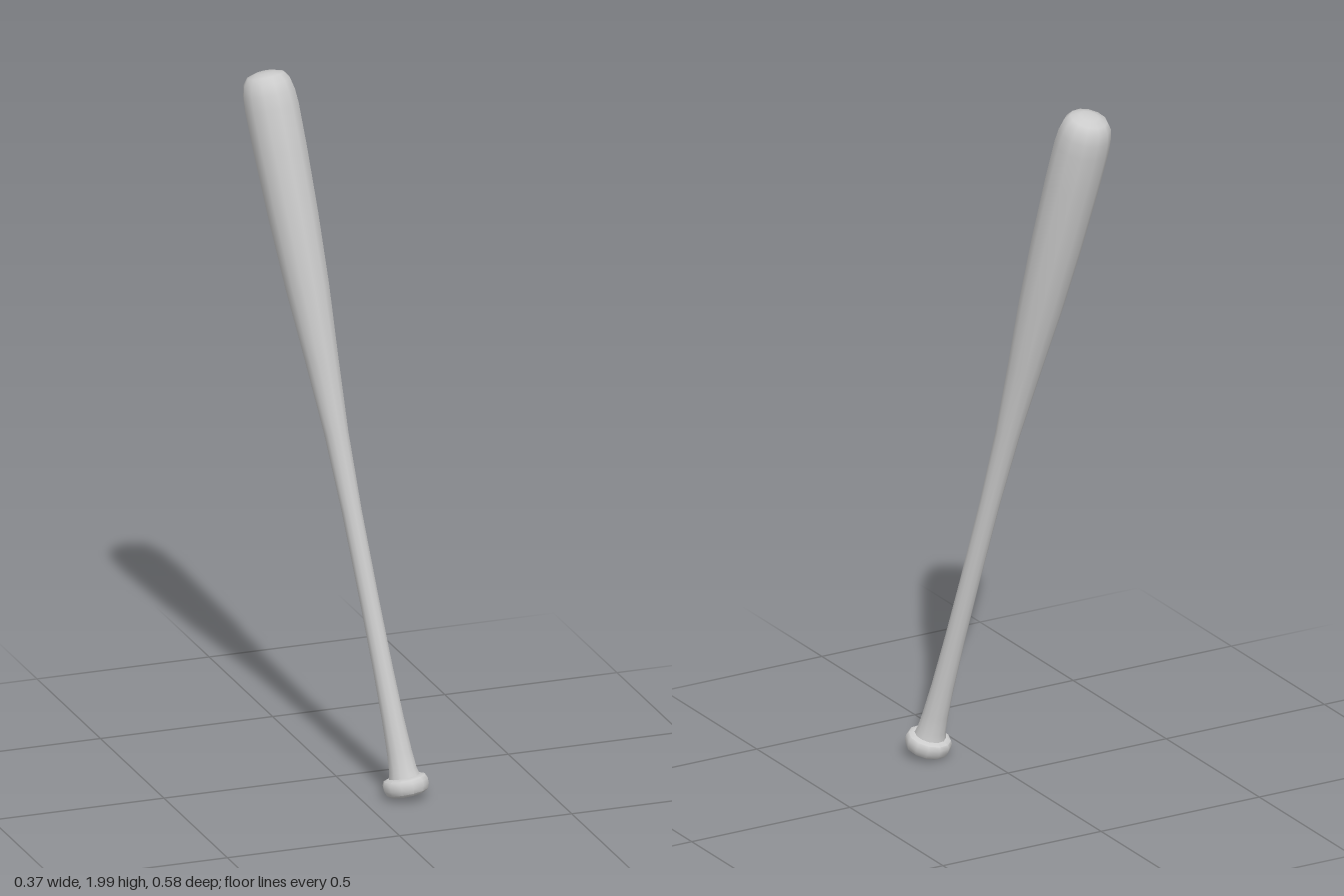
import * as THREE from 'three';
import { toCreasedNormals } from 'three/addons/utils/BufferGeometryUtils.js';

const SIDES = 12;

// Turned part from a [radius, height] profile, listed from bottom to top
function turned(name, profile, crease) {
  const points = profile.map(([r, h]) => new THREE.Vector2(r, h));
  const geometry = toCreasedNormals(new THREE.LatheGeometry(points, SIDES), crease);
  const mesh = new THREE.Mesh(geometry, new THREE.MeshStandardMaterial({ color: 0xcccccc }));
  mesh.name = name;
  return mesh;
}

export function createModel() {
  const bat = new THREE.Group();
  bat.name = 'bat';

  // Rounded knob at the foot of the handle
  bat.add(turned('knob', [
    [0, 0], [0.046, 0], [0.059, 0.008], [0.064, 0.022],
    [0.064, 0.036], [0.059, 0.046], [0.046, 0.051], [0.034, 0.051],
  ], 0.75));

  // Flared grip, slim handle and swelling barrel
  bat.add(turned('handleAndBarrel', [
    [0.045, 0.046], [0.039, 0.07], [0.035, 0.12], [0.031, 0.21],
    [0.028, 0.36], [0.027, 0.55], [0.028, 0.8], [0.034, 1.02],
    [0.047, 1.23], [0.061, 1.43], [0.07, 1.63], [0.075, 1.82],
    [0.076, 1.94], [0.073, 1.98], [0.066, 2.01], [0.052, 2.029],
    [0.027, 2.037], [0, 2.038],
  ], 0.75));

  // Lean the whole bat back and to its right
  const axis = new THREE.Vector3(-0.124, 1, -0.235).normalize();
  bat.quaternion.setFromUnitVectors(new THREE.Vector3(0, 1, 0), axis);
  bat.position.set(0.123, 0.012, 0.231);

  const model = new THREE.Group();
  model.name = 'leaningBat';
  model.add(bat);
  return model;
}
